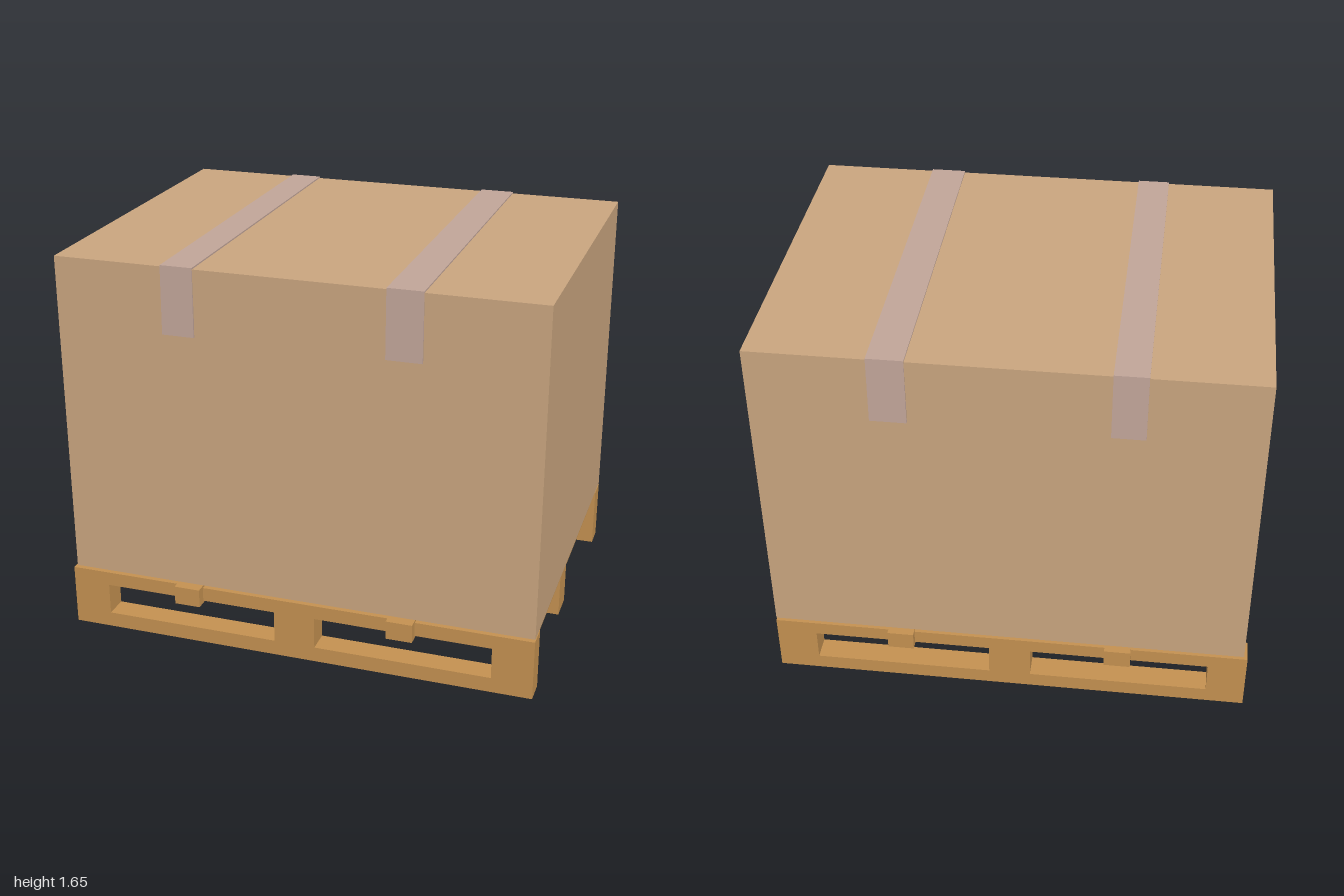
import * as THREE from 'three';

const wood = new THREE.MeshStandardMaterial({ color: 0xc39050 });
const card = new THREE.MeshStandardMaterial({ color: 0xc8a47e });
const tapeMat = new THREE.MeshStandardMaterial({ color: 0xc0a498 });

export function createModel() {
  const group = new THREE.Group();

  const add = (name, geometry, material) => {
    const mesh = new THREE.Mesh(geometry, material);
    mesh.name = name;
    group.add(mesh);
    return mesh;
  };

  // Box given by its limits on each axis
  const block = (name, material, [x0, x1], [y0, y1], [z0, z1]) =>
    add(name, new THREE.BoxGeometry(x1 - x0, y1 - y0, z1 - z0), material)
      .position.set((x0 + x1) / 2, (y0 + y1) / 2, (z0 + z1) / 2);

  const rectangle = (path, x0, x1, y0, y1) =>
    path.moveTo(x0, y0).lineTo(x1, y0).lineTo(x1, y1).lineTo(x0, y1).closePath();

  // Carton
  block('carton', card, [-0.985, 1], [0.27, 1.645], [-0.755, 0.745]);

  // Outer pallet rails, each with two fork openings
  const rail = rectangle(new THREE.Shape(), -1, 1, 0, 0.26);
  for (const [x0, x1] of [[-0.84, -0.09], [0.085, 0.83]]) {
    rail.holes.push(rectangle(new THREE.Path(), x0, x1, 0.065, 0.2));
  }
  const railGeometry = new THREE.ExtrudeGeometry(rail, { depth: 0.1, bevelEnabled: false });
  add('frontRail', railGeometry, wood).position.z = 0.65;
  add('backRail', railGeometry, wood).position.z = -0.76;

  // Solid middle rail
  block('middleRail', wood, [-0.985, 0.975], [0, 0.178], [-0.07, 0.065]);

  // Cross slats between the rails
  for (const x of [-0.93, 0, 0.92]) {
    block('crossSlat', wood, [x - 0.055, x + 0.055], [0.178, 0.25], [-0.67, 0.66]);
  }

  // Long cross beams that poke out past the outer rails
  for (const x of [-0.46, 0.457]) {
    block('crossBeam', wood, [x - 0.055, x + 0.055], [0.19, 0.269], [-0.79, 0.79]);
  }

  // Tape strips folded over the top, with slightly flared ends
  const profile = new THREE.Shape([
    [0.755, 1.37], [0.748, 1.651], [-0.758, 1.651], [-0.765, 1.37],
    [-0.757, 1.37], [-0.75, 1.64], [0.74, 1.64], [0.747, 1.37],
  ].map(([z, y]) => new THREE.Vector2(z, y)));
  for (const [x0, x1] of [[-0.53, -0.397], [0.38, 0.525]]) {
    const geometry = new THREE.ExtrudeGeometry(profile, { depth: x1 - x0, bevelEnabled: false });
    geometry.rotateY(-Math.PI / 2);
    add('tapeStrip', geometry, tapeMat).position.x = x1;
  }

  return group;
}
